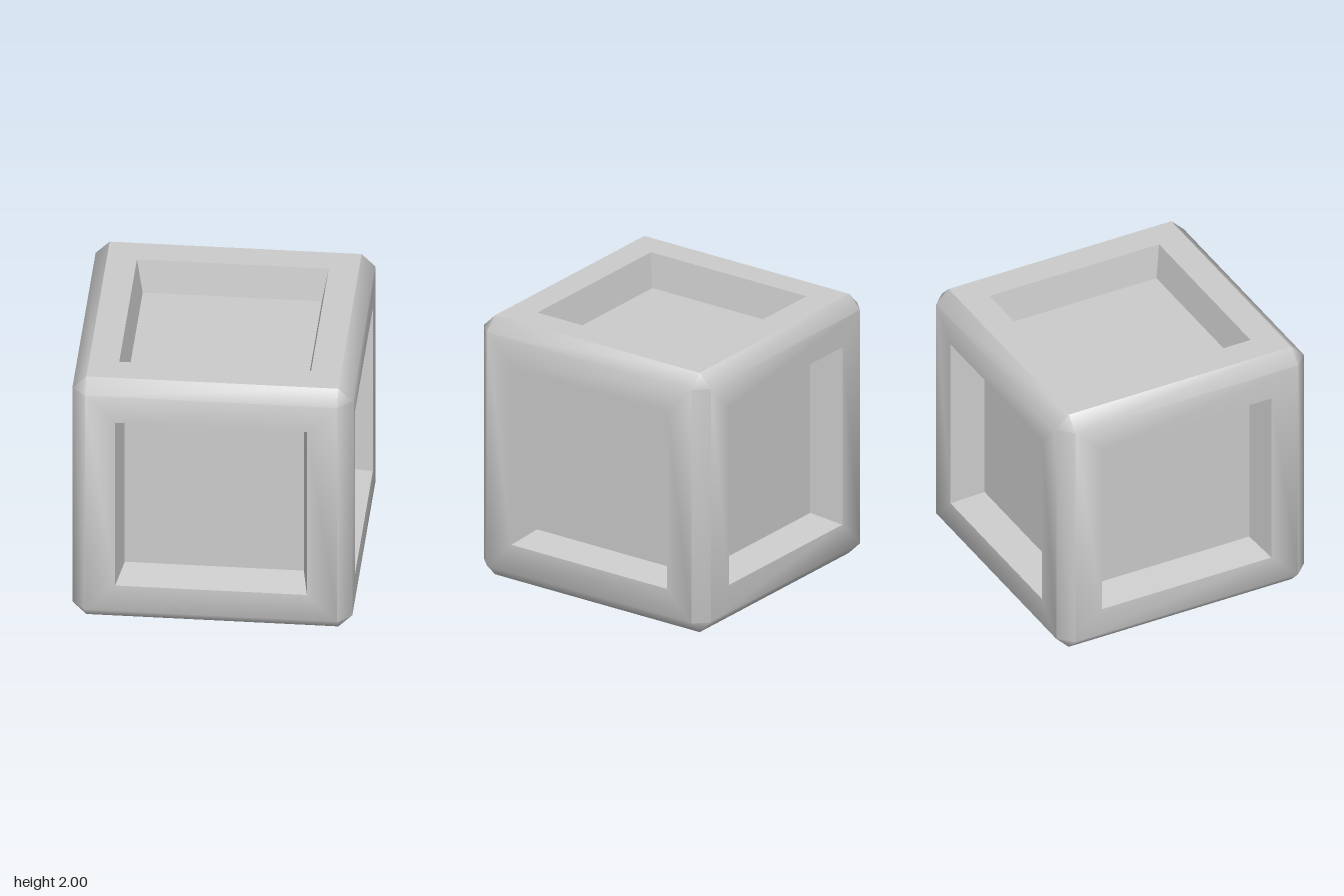
import * as THREE from 'three';
import { toCreasedNormals } from 'three/addons/utils/BufferGeometryUtils.js';

const HALF = 1;       // half the cube's width
const EDGE = 0.9;     // where the chamfer starts
const OPENING = 0.685; // half width of the recess at its rim
const FLOOR = 0.64;   // half width of the recess floor
const DEPTH = 0.25;
const SIGNS = [-1, 1];

// Point from coordinates along axis k and the two axes after it
function point(k, a, b, c) {
  const p = new THREE.Vector3();
  p.setComponent(k, a).setComponent((k + 1) % 3, b).setComponent((k + 2) % 3, c);
  return p;
}

// Adds a convex polygon as a fan, wound to face the given direction
function addPolygon(out, corners, facing) {
  const n = corners[1].clone().sub(corners[0]).cross(corners[2].clone().sub(corners[0]));
  const pts = n.dot(facing) < 0 ? [...corners].reverse() : corners;
  for (let i = 1; i < pts.length - 1; i++) {
    for (const p of [pts[0], pts[i], pts[i + 1]]) out.push(p.x, p.y, p.z);
  }
}

// Square ring of corners on one side of the cube
function square(k, level, r) {
  return [[-1, -1], [1, -1], [1, 1], [-1, 1]].map(([u, v]) => point(k, level, u * r, v * r));
}

// Four quads joining two squares
function addBand(out, outer, inner, facing) {
  for (let i = 0; i < 4; i++) {
    const j = (i + 1) % 4;
    addPolygon(out, [outer[i], outer[j], inner[j], inner[i]], facing);
  }
}

function makeMesh(name, positions, creaseAngle) {
  const geometry = new THREE.BufferGeometry();
  geometry.setAttribute('position', new THREE.Float32BufferAttribute(positions, 3));
  const mesh = new THREE.Mesh(
    toCreasedNormals(geometry, creaseAngle),
    new THREE.MeshStandardMaterial({ color: 0xcccccc })
  );
  mesh.name = name;
  return mesh;
}

export function createModel() {
  const group = new THREE.Group();
  group.name = 'panelledCube';
  const shell = [], topFrame = [], recesses = [];

  for (let k = 0; k < 3; k++) {
    for (const s of SIGNS) {
      const facing = point(k, s, 0, 0);
      const rim = square(k, s * HALF, OPENING);
      const floor = square(k, s * (HALF - DEPTH), FLOOR);
      // Frame around the opening; the top one has a hard outer edge
      const isTop = k === 1 && s > 0;
      addBand(isTop ? topFrame : shell, square(k, s * HALF, EDGE), rim, facing);
      // Tapered walls and floor of the recess
      addBand(recesses, rim, floor, facing);
      addPolygon(recesses, floor, facing);

      // Chamfers along the edges parallel to axis k
      for (const t of SIGNS) {
        addPolygon(shell, [
          point(k, -EDGE, s * HALF, t * EDGE), point(k, EDGE, s * HALF, t * EDGE),
          point(k, EDGE, s * EDGE, t * HALF), point(k, -EDGE, s * EDGE, t * HALF),
        ], point(k, 0, s, t));
      }
    }
  }

  // Corner triangles
  for (const x of SIGNS) for (const y of SIGNS) for (const z of SIGNS) {
    addPolygon(shell, [
      new THREE.Vector3(x * HALF, y * EDGE, z * EDGE),
      new THREE.Vector3(x * EDGE, y * HALF, z * EDGE),
      new THREE.Vector3(x * EDGE, y * EDGE, z * HALF),
    ], new THREE.Vector3(x, y, z));
  }

  group.add(
    makeMesh('shell', shell, Math.PI / 3),
    makeMesh('topFrame', topFrame, 0.1),
    makeMesh('recessedPanels', recesses, 0.1)
  );
  group.children.forEach((mesh) => { mesh.position.y = HALF; });
  return group;
}
